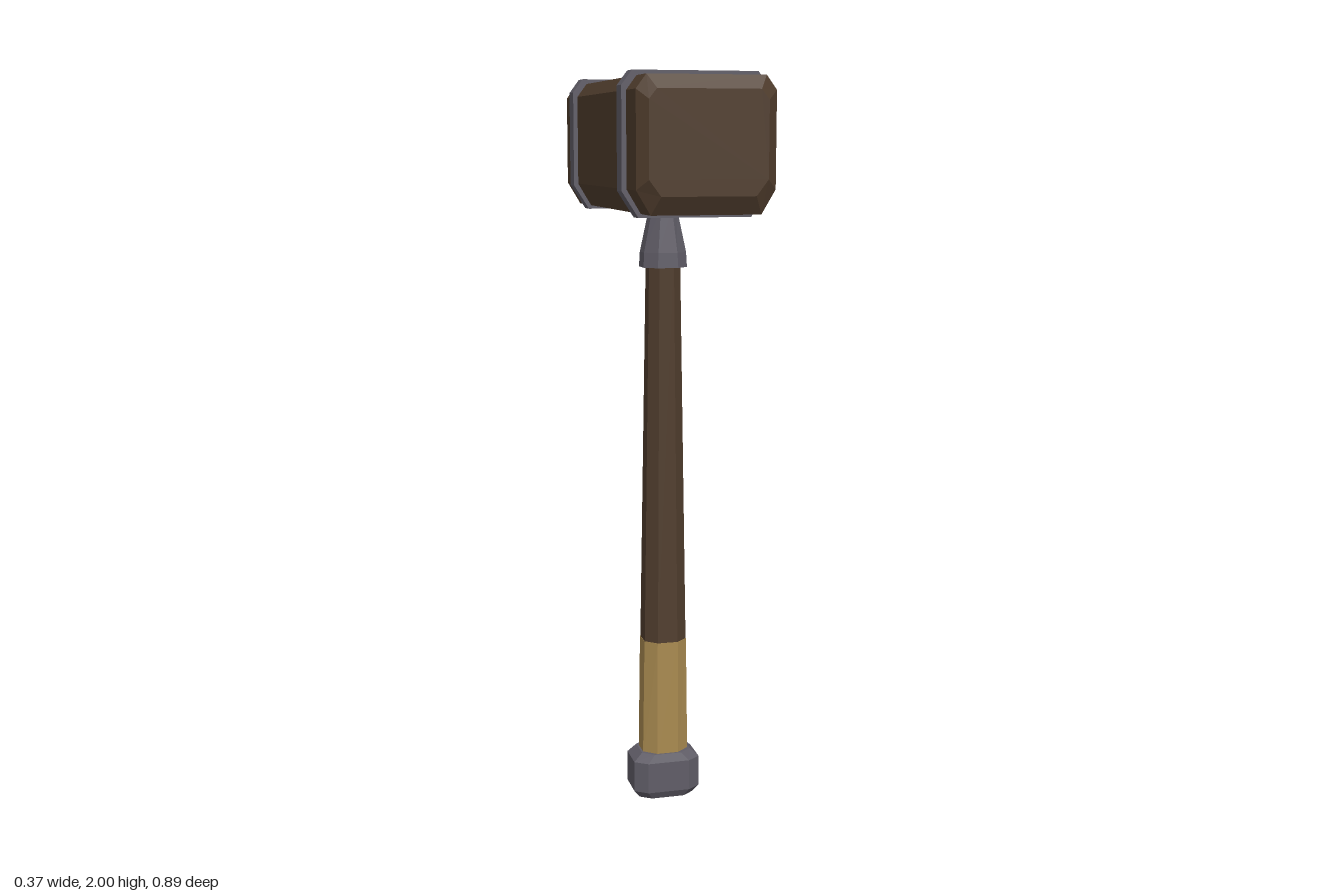
import * as THREE from 'three';

// Octagon with half sizes a, b, corner cuts ca, cb, counterclockwise in (a, b)
const octagon = (a, b, ca, cb) => [
  [a, -b + cb], [a, b - cb], [a - ca, b], [-a + ca, b],
  [-a, b - cb], [-a, -b + cb], [-a + ca, -b], [a - ca, -b],
];

// Head outline: small chamfers on top, deeper ones underneath
const headOutline = (hx, bottom, top, cx, cTop, cxLow, cLow) => [
  [hx, bottom + cLow], [hx, top - cTop], [hx - cx, top], [-hx + cx, top],
  [-hx, top - cTop], [-hx, bottom + cLow], [-hx + cxLow, bottom], [hx - cxLow, bottom],
];

// Faceted solid through a stack of rings, closed at both ends
function loft(rings) {
  const pos = [], n = rings[0].length;
  const tri = (...pts) => pts.forEach((p) => pos.push(...p));
  for (let r = 0; r < rings.length - 1; r++) {
    for (let i = 0; i < n; i++) {
      const j = (i + 1) % n, a = rings[r], b = rings[r + 1];
      tri(a[i], a[j], b[j]);
      tri(a[i], b[j], b[i]);
    }
  }
  const first = rings[0], last = rings[rings.length - 1];
  for (let i = 1; i < n - 1; i++) {
    tri(first[0], first[i + 1], first[i]);
    tri(last[0], last[i], last[i + 1]);
  }
  const g = new THREE.BufferGeometry();
  g.setAttribute('position', new THREE.Float32BufferAttribute(pos, 3));
  g.computeVertexNormals();
  return g;
}

// Rings stacked upwards from [y, halfX, halfZ, cutX, cutZ]
const loftY = (levels) => loft(levels.map(([y, hx, hz, cx, cz]) =>
  octagon(hz, hx, cz, cx).map(([z, x]) => [x, y, z])));

// Rings stacked forwards from [z, outline]
const loftZ = (levels) => loft(levels.map(([z, outline]) =>
  outline.map(([x, y]) => [x, y, z])));

export function createModel() {
  const material = (name, color) => {
    const m = new THREE.MeshStandardMaterial({ color, flatShading: true });
    m.name = name;
    return m;
  };
  const wood = material('darkWood', 0x503d2d);
  const metal = material('greyMetal', 0x605d67);
  const leather = material('tanGrip', 0xa98a50);
  const teal = material('tealCap', 0x3f6a68);

  const model = new THREE.Group();
  model.name = 'hammer';
  const add = (name, geometry, mat) => {
    const mesh = new THREE.Mesh(geometry, mat);
    mesh.name = name;
    model.add(mesh);
  };

  // Chamfered wooden head
  const full = headOutline(0.175, 1.655, 1.987, 0.026, 0.035, 0.036, 0.06);
  const end = headOutline(0.149, 1.7, 1.953, 0.02, 0.025, 0.03, 0.04);
  add('head', loftZ([[-0.445, end], [-0.42, full], [0.42, full], [0.445, end]]), wood);

  // Metal bands around the head
  const band = headOutline(0.187, 1.645, 2, 0.027, 0.036, 0.042, 0.065);
  for (const [name, z] of [['frontBand', 0.295], ['backBand', -0.295]]) {
    add(name, loftZ([[z - 0.026, band], [z + 0.026, band]]), metal);
  }

  // Collar under the head
  add('collar', loftY([
    [1.5, 0.06, 0.056, 0.032, 0.03],
    [1.54, 0.058, 0.054, 0.032, 0.03],
    [1.66, 0.033, 0.038, 0.018, 0.02],
  ]), metal);

  // Tapered shaft and grip
  add('shaft', loftY([
    [0.46, 0.059, 0.054, 0.031, 0.028],
    [1.52, 0.043, 0.041, 0.023, 0.022],
  ]), wood);
  add('grip', loftY([
    [0.11, 0.065, 0.055, 0.035, 0.029],
    [0.46, 0.06, 0.055, 0.031, 0.028],
  ]), leather);

  // Pommel with a coloured plate underneath
  add('pommel', loftY([
    [0.003, 0.076, 0.056, 0.03, 0.022],
    [0.025, 0.094, 0.068, 0.035, 0.025],
    [0.112, 0.094, 0.068, 0.035, 0.025],
    [0.135, 0.07, 0.06, 0.032, 0.025],
  ]), metal);
  add('pommelCap', loftY([
    [0, 0.058, 0.042, 0.026, 0.018],
    [0.006, 0.058, 0.042, 0.026, 0.018],
  ]), teal);

  return model;
}
